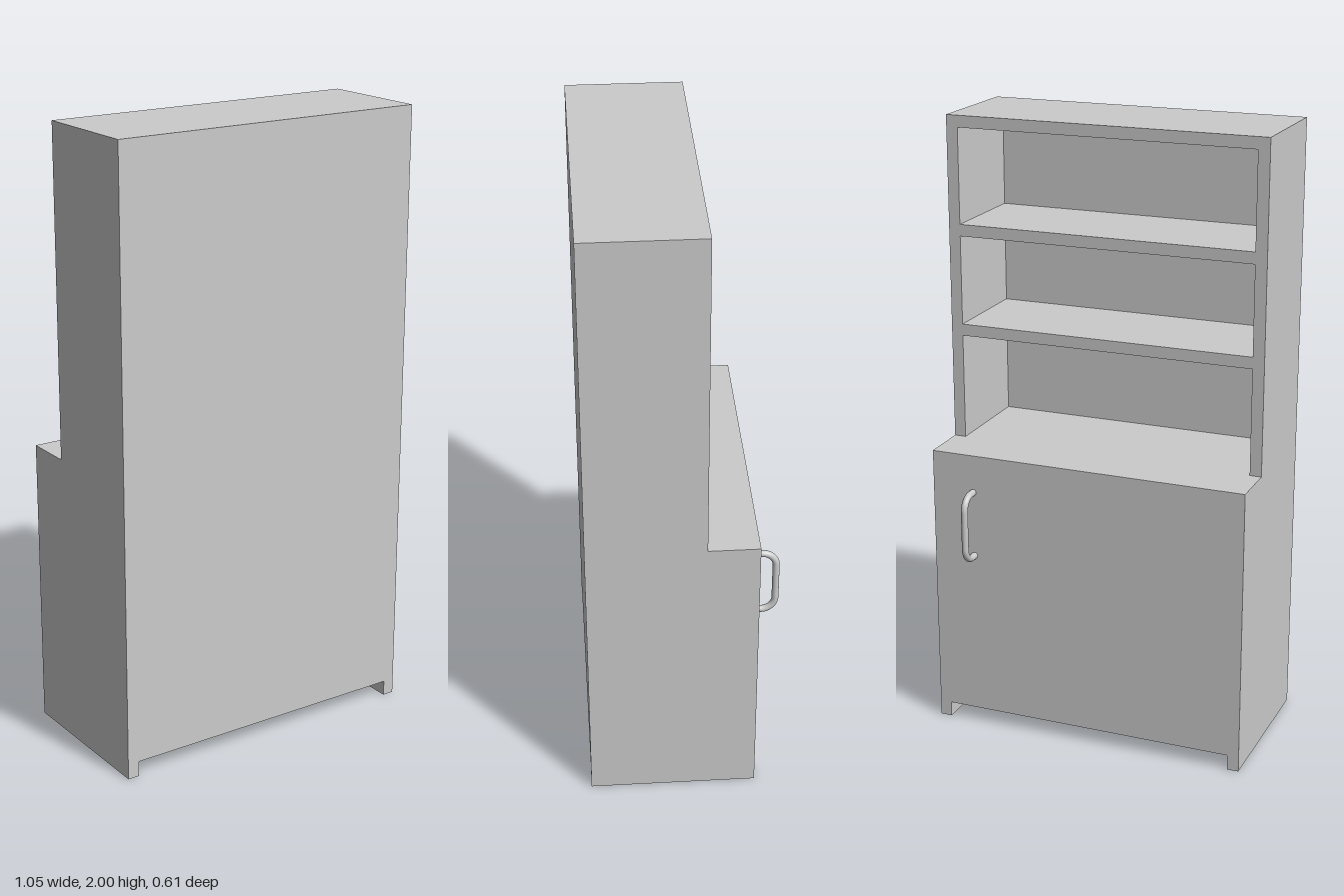
import * as THREE from 'three';

const W = 1.054, T = 0.038;              // overall width, board thickness
const BACK = 0.305, STEP = -0.067, FACE = -0.228; // z of wall side, hutch front, door front
const COUNTER = 0.945, TOP = 2, FLOOR = 0.05;

export function createModel() {
  const group = new THREE.Group();
  const material = new THREE.MeshStandardMaterial({ color: 0xcccccc });

  const add = (name, geometry) => {
    const mesh = new THREE.Mesh(geometry, material);
    mesh.name = name;
    group.add(mesh);
    return mesh;
  };
  // Board between the side panels, given by its y and z limits
  const board = (name, y0, y1, z0, z1) => {
    const mesh = add(name, new THREE.BoxGeometry(W - 2 * T, y1 - y0, z1 - z0));
    mesh.position.set(0, (y0 + y1) / 2, (z0 + z1) / 2);
  };

  // Stepped side panels that reach the ground as feet
  const profile = new THREE.Shape([
    [-BACK, 0], [-FACE, 0], [-FACE, COUNTER], [-STEP, COUNTER], [-STEP, TOP], [-BACK, TOP],
  ].map(([u, y]) => new THREE.Vector2(u, y)));
  for (const [name, x] of [['leftSide', W / 2 - T], ['rightSide', -W / 2]]) {
    const geometry = new THREE.ExtrudeGeometry(profile, { depth: T, bevelEnabled: false });
    geometry.rotateY(Math.PI / 2);       // shape x becomes -z, depth becomes +x
    add(name, geometry).position.x = x;
  }

  // Carcass boards
  board('backPanel', FLOOR, TOP, BACK - T, BACK);
  board('topPanel', TOP - T, TOP, STEP, BACK - T);
  board('countertop', COUNTER - T, COUNTER, FACE, BACK - T);
  board('bottomPanel', FLOOR, FLOOR + T, FACE, BACK - T);
  board('door', FLOOR + T, COUNTER - T, FACE, FACE + T);

  // Open shelves
  for (const y of [1.328, 1.655]) board('shelf', y - T, y, STEP, BACK - T);

  // Bent-bar door handle
  const low = 0.601, high = 0.82, out = -0.294, bend = 0.045;
  const v = (y, z) => new THREE.Vector3(0, y, z);
  const path = new THREE.CurvePath();
  const k = bend * 0.45;                 // control offset for a round corner
  path.add(new THREE.LineCurve3(v(low, FACE), v(low, out + bend)));
  path.add(new THREE.CubicBezierCurve3(v(low, out + bend), v(low, out + k), v(low + k, out), v(low + bend, out)));
  path.add(new THREE.LineCurve3(v(low + bend, out), v(high - bend, out)));
  path.add(new THREE.CubicBezierCurve3(v(high - bend, out), v(high - k, out), v(high, out + k), v(high, out + bend)));
  path.add(new THREE.LineCurve3(v(high, out + bend), v(high, FACE)));
  add('doorHandle', new THREE.TubeGeometry(path, 64, 0.011, 16)).position.x = 0.387;

  return group;
}
